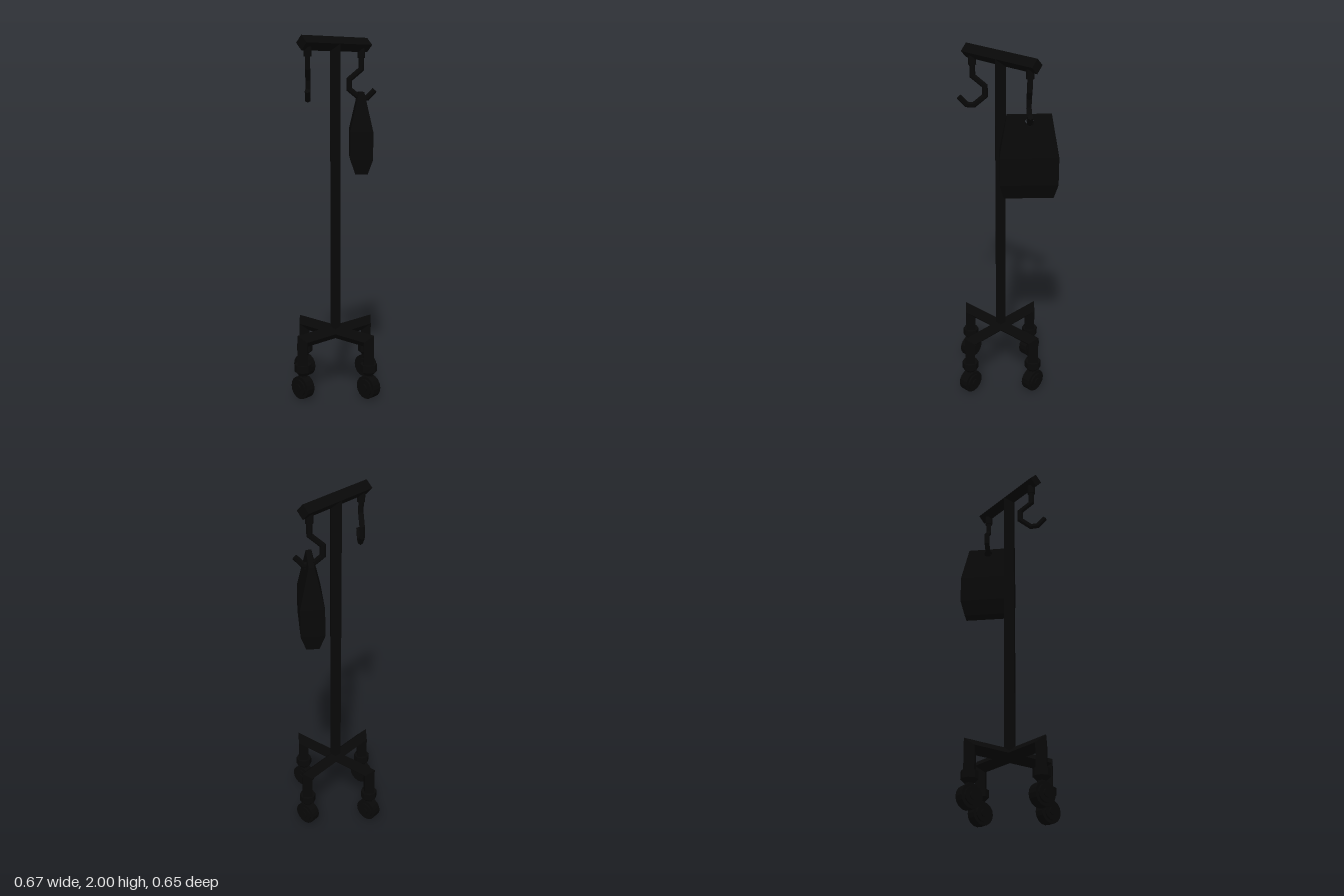
import * as THREE from 'three';

const CX = -0.03; // pole axis
const dark = new THREE.MeshStandardMaterial({ color: 0x080808, flatShading: true });

function part(name, geometry, parent) {
  const mesh = new THREE.Mesh(geometry, dark);
  mesh.name = name;
  parent.add(mesh);
  return mesh;
}

// Mitred tube along a path of [x, y] points in the xy plane
function sweep(path, radius, sides) {
  const pts = path.map(([x, y]) => new THREE.Vector2(x, y));
  const sideOf = (i) => {
    const t = pts[i + 1].clone().sub(pts[i]).normalize();
    return new THREE.Vector2(-t.y, t.x);
  };
  const pos = [], index = [], last = pts.length - 1;
  pts.forEach((p, i) => {
    const before = sideOf(Math.max(i - 1, 0));
    const after = sideOf(Math.min(i, last - 1));
    const m = before.clone().add(after).normalize();
    m.divideScalar(m.dot(before));
    for (let j = 0; j < sides; j++) {
      const a = (j / sides) * Math.PI * 2;
      const c = Math.cos(a) * radius;
      pos.push(p.x + m.x * c, p.y + m.y * c, Math.sin(a) * radius);
    }
  });
  pos.push(pts[0].x, pts[0].y, 0, pts[last].x, pts[last].y, 0);
  const startCap = pts.length * sides, endCap = startCap + 1;
  for (let j = 0; j < sides; j++) {
    const k = (j + 1) % sides;
    for (let i = 0; i < last; i++) {
      const a = i * sides, b = a + sides;
      index.push(a + j, a + k, b + k, a + j, b + k, b + j);
    }
    index.push(startCap, k, j, endCap, last * sides + j, last * sides + k);
  }
  const g = new THREE.BufferGeometry();
  g.setAttribute('position', new THREE.Float32BufferAttribute(pos, 3));
  g.setIndex(index);
  const flat = g.toNonIndexed();
  flat.computeVertexNormals();
  return flat;
}

// Slab tapering in width and thickness between two levels [y, half width, half thickness]
function slab([y0, w0, t0], [y1, w1, t1], hole) {
  const shape = new THREE.Shape([[-w0, y0], [w0, y0], [w1, y1], [-w1, y1]].map(([x, y]) => new THREE.Vector2(x, y)));
  if (hole) {
    const path = new THREE.Path();
    path.absarc(0, hole.y, hole.r, 0, Math.PI * 2, true);
    shape.holes.push(path);
  }
  const g = new THREE.ExtrudeGeometry(shape, { depth: 1, bevelEnabled: false, curveSegments: 8 });
  const p = g.attributes.position;
  for (let i = 0; i < p.count; i++) {
    const t = THREE.MathUtils.mapLinear(p.getY(i), y0, y1, t0, t1);
    p.setZ(i, p.getZ(i) > 0.5 ? t : -t);
  }
  g.computeVertexNormals();
  return g;
}

function lathe(profile, sides) {
  return new THREE.LatheGeometry(profile.map(([r, y]) => new THREE.Vector2(r, y)), sides);
}

function caster(x, z) {
  const g = new THREE.Group();
  g.name = 'caster';
  g.position.set(x, 0, z);
  part('casterCollar', lathe([[0, 0.115], [0.024, 0.115], [0.024, 0.135], [0.047, 0.157], [0.047, 0.198], [0, 0.198]], 8), g);
  // Stepped wheel, axle along x
  const wheel = part('wheel', lathe([
    [0, -0.044], [0.022, -0.044], [0.022, -0.037], [0.048, -0.037], [0.048, -0.027], [0.065, -0.027],
    [0.065, 0.027], [0.048, 0.027], [0.048, 0.037], [0.022, 0.037], [0.022, 0.044], [0, 0.044],
  ], 16), g);
  wheel.rotation.z = Math.PI / 2;
  wheel.position.y = 0.066;
  return g;
}

function hook(x, turn) {
  const g = new THREE.Group();
  g.name = 'hook';
  g.position.x = x;
  g.rotation.y = turn;
  part('hookCollar', new THREE.CylinderGeometry(0.022, 0.022, 0.06, 8).translate(0, 1.918, 0), g);
  part('hookRod', sweep([[0, 1.92], [0, 1.825], [0.067, 1.768], [0.067, 1.712],
    [0.005, 1.661], [-0.035, 1.664], [-0.077, 1.709]], 0.016, 6), g);
  return g;
}

export function createModel() {
  const model = new THREE.Group();
  model.name = 'dripStand';

  // Pole and top bar, diamond in section
  part('pole', sweep([[CX, 0.33], [CX, 1.96]], 0.04, 4), model);
  part('topBar', sweep([[-0.285, 1.96], [0.228, 1.96]], 0.04, 4), model);

  // Two crossed arms whose ends turn down as legs
  for (const turn of [0, Math.PI / 2]) {
    const arm = part('baseArm', sweep([[-0.26, 0.17], [-0.26, 0.33], [0.26, 0.33], [0.26, 0.17]], 0.04, 4), model);
    arm.position.x = CX;
    arm.rotation.y = turn;
  }
  for (const s of [-1, 1]) {
    model.add(caster(CX + s * 0.26, 0), caster(CX, s * 0.26));
  }

  // Mirrored hooks under the bar
  model.add(hook(-0.24, Math.PI / 4), hook(0.18, Math.PI * 3 / 4));

  // Fluid bag hanging on the left hook
  const bag = new THREE.Group();
  bag.name = 'fluidBag';
  bag.position.x = 0.178;
  bag.rotation.y = Math.PI / 4;
  const levels = [[1.24, 0.135, 0.035], [1.325, 0.157, 0.064], [1.48, 0.157, 0.064], [1.697, 0.118, 0.015]];
  part('bagBottom', slab(levels[0], levels[1]), bag);
  part('bagBody', slab(levels[1], levels[2]), bag);
  part('bagTop', slab(levels[2], levels[3], { y: 1.662, r: 0.024 }), bag);
  model.add(bag);

  return model;
}
